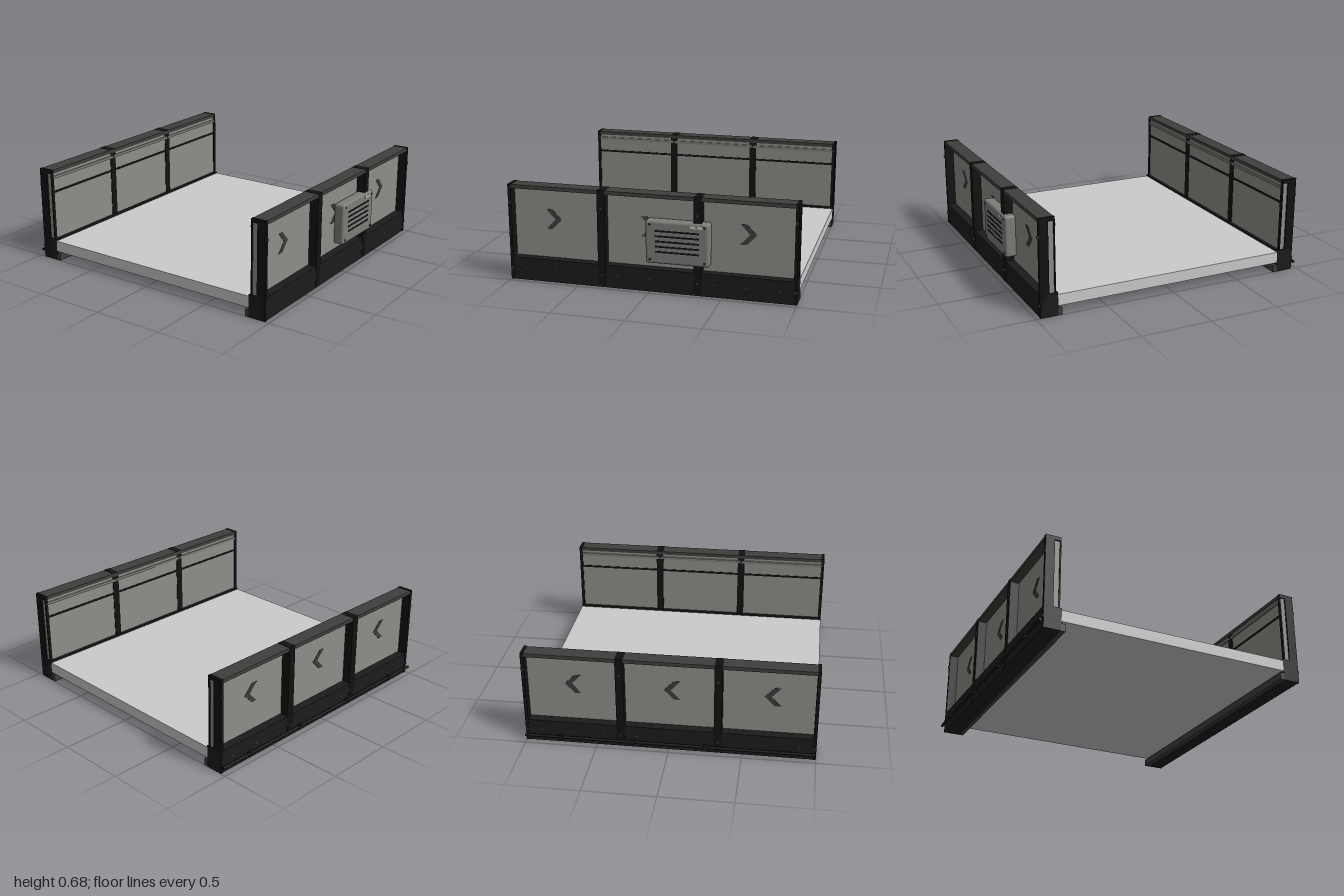
import * as THREE from 'three';
import { RoundedBoxGeometry } from 'three/addons/geometries/RoundedBoxGeometry.js';

const mat = (color) => new THREE.MeshStandardMaterial({ color });
const GREY = mat(0xcccccc), PANEL = mat(0x8d8d88), CAP = mat(0x413f3c), BASE = mat(0x1a1c1c);
const POST = mat(0x101212), MARK = mat(0x3c3c3e), STEEL = mat(0x7c7c78), LAMP = mat(0xc8c8c0);

function add(parent, name, geometry, material, x = 0, y = 0, z = 0) {
  const mesh = new THREE.Mesh(geometry, material);
  mesh.name = name;
  mesh.position.set(x, y, z);
  parent.add(mesh);
  return mesh;
}

// Box given by its limits on each axis
function span(parent, name, material, [x0, x1], [y0, y1], [z0, z1]) {
  const g = new THREE.BoxGeometry(Math.abs(x1 - x0), y1 - y0, z1 - z0);
  return add(parent, name, g, material, (x0 + x1) / 2, (y0 + y1) / 2, (z0 + z1) / 2);
}

// Round head lying on a side face
function bolt(parent, name, radius, length, material, x, y, z) {
  const g = new THREE.CylinderGeometry(radius, radius, length, 12).rotateZ(Math.PI / 2);
  return add(parent, name, g, material, x, y, z);
}

// Arrow plate in the z-y plane, tip towards -z
function chevronGeometry() {
  const pts = [[0.055, 0.07], [0.012, 0.07], [-0.055, 0], [0.012, -0.07], [0.055, -0.07], [-0.01, 0]];
  const shape = new THREE.Shape(pts.map(([z, y]) => new THREE.Vector2(-z, y)));
  const g = new THREE.ExtrudeGeometry(shape, { depth: 0.004, bevelEnabled: false });
  return g.translate(0, 0, -0.002).rotateY(Math.PI / 2);
}

function sideWall(s) {
  const wall = new THREE.Group();
  wall.name = s > 0 ? 'leftWall' : 'rightWall';
  const at = (x) => s * x + 0.005;
  const xs = (a, b) => [at(a), at(b)];

  span(wall, 'lowerBeam', BASE, xs(0.84, 0.962), [0, 0.16], [-1, 1]);
  span(wall, 'footRail', CAP, xs(0.812, 0.845), [0, 0.052], [-1, 1]);
  span(wall, 'topCap', CAP, xs(0.856, 0.962), [0.652, 0.678], [-0.985, 0.985]);

  // Thin infill panel set back from the outer face, with arrow plates
  span(wall, 'panel', PANEL, xs(0.861, 0.9), [0.155, 0.655], [-0.99, 0.99]);
  const chevron = chevronGeometry();
  for (const i of [-1, 0, 1]) {
    add(wall, 'arrowPlate', chevron, MARK, at(0.901), 0.434, i * 0.678 + 0.015);
  }

  // Middle posts wrap over the cap
  for (const z of [-0.333, 0.333]) {
    span(wall, 'middlePost', POST, xs(0.857, 0.964), [0.01, 0.68], [z - 0.027, z + 0.027]);
  }

  // End posts: channel open towards the panel edge
  for (const e of [-1, 1]) {
    const zs = e > 0 ? [0.977, 1] : [-1, -0.977];
    span(wall, 'endPostOuter', POST, xs(0.9, 0.965), [0, 0.68], zs);
    span(wall, 'endPostInner', POST, xs(0.854, 0.862), [0.155, 0.68], zs);
    span(wall, 'endPostHead', POST, xs(0.854, 0.91), [0.653, 0.68], zs);
  }

  // Bolts on the posts and along the beam
  for (const z of [-0.988, -0.333, 0.333, 0.988]) {
    for (const y of [0.085, 0.555]) bolt(wall, 'postBolt', 0.01, 0.012, CAP, at(0.967), y, z);
    bolt(wall, 'railBolt', 0.009, 0.01, CAP, at(0.853), 0.625, z);
  }
  for (const i of [-1, 0, 1]) {
    for (const d of [-0.22, 0, 0.22]) {
      bolt(wall, 'beamBolt', 0.006, 0.004, CAP, at(0.961), 0.085, i * 0.665 + d);
    }
  }

  // Inner handrail and dark trim line
  span(wall, 'handrail', STEEL, xs(0.852, 0.865), [0.612, 0.632], [-0.977, 0.977]);
  span(wall, 'trimLine', POST, xs(0.857, 0.865), [0.505, 0.52], [-0.977, 0.977]);
  return wall;
}

// Vented control box on the left wall
function controlBox() {
  const box = new THREE.Group();
  box.name = 'controlBox';
  box.position.set(0, 0.355, -0.197);
  add(box, 'housing', new RoundedBoxGeometry(0.08, 0.298, 0.436, 4, 0.018), STEEL, 0.943);
  for (let i = -2; i <= 2; i++) {
    add(box, 'ventSlot', new THREE.BoxGeometry(0.006, 0.012, 0.3), POST, 0.982, i * 0.036 + 0.008, 0);
  }
  for (const y of [-0.12, 0.122]) {
    for (const z of [-0.187, 0.187]) bolt(box, 'coverScrew', 0.008, 0.004, POST, 0.983, y, z);
  }
  for (const z of [-0.11, -0.155]) {
    add(box, 'lamp', new THREE.BoxGeometry(0.004, 0.018, 0.036), LAMP, 0.983, 0.122, z);
  }
  return box;
}

// Cable pipe outside the right wall, held by clips on pins
function sidePipe() {
  const pipe = new THREE.Group();
  pipe.name = 'sidePipe';
  add(pipe, 'pipe', new THREE.CylinderGeometry(0.01, 0.01, 2, 12).rotateX(Math.PI / 2), POST, -0.98, 0.05, 0);
  for (const z of [-0.75, -0.25, 0.25, 0.75]) {
    span(pipe, 'clip', BASE, [-0.99, -0.969], [0.033, 0.068], [z - 0.012, z + 0.012]);
    bolt(pipe, 'clipPin', 0.004, 0.02, BASE, -0.962, 0.05, z);
  }
  return pipe;
}

export function createModel() {
  const model = new THREE.Group();
  model.name = 'walledPlatform';
  span(model, 'deck', GREY, [-0.836, 0.846], [0.067, 0.147], [-1, 1]);
  model.add(sideWall(1), sideWall(-1), controlBox(), sidePipe());
  return model;
}
